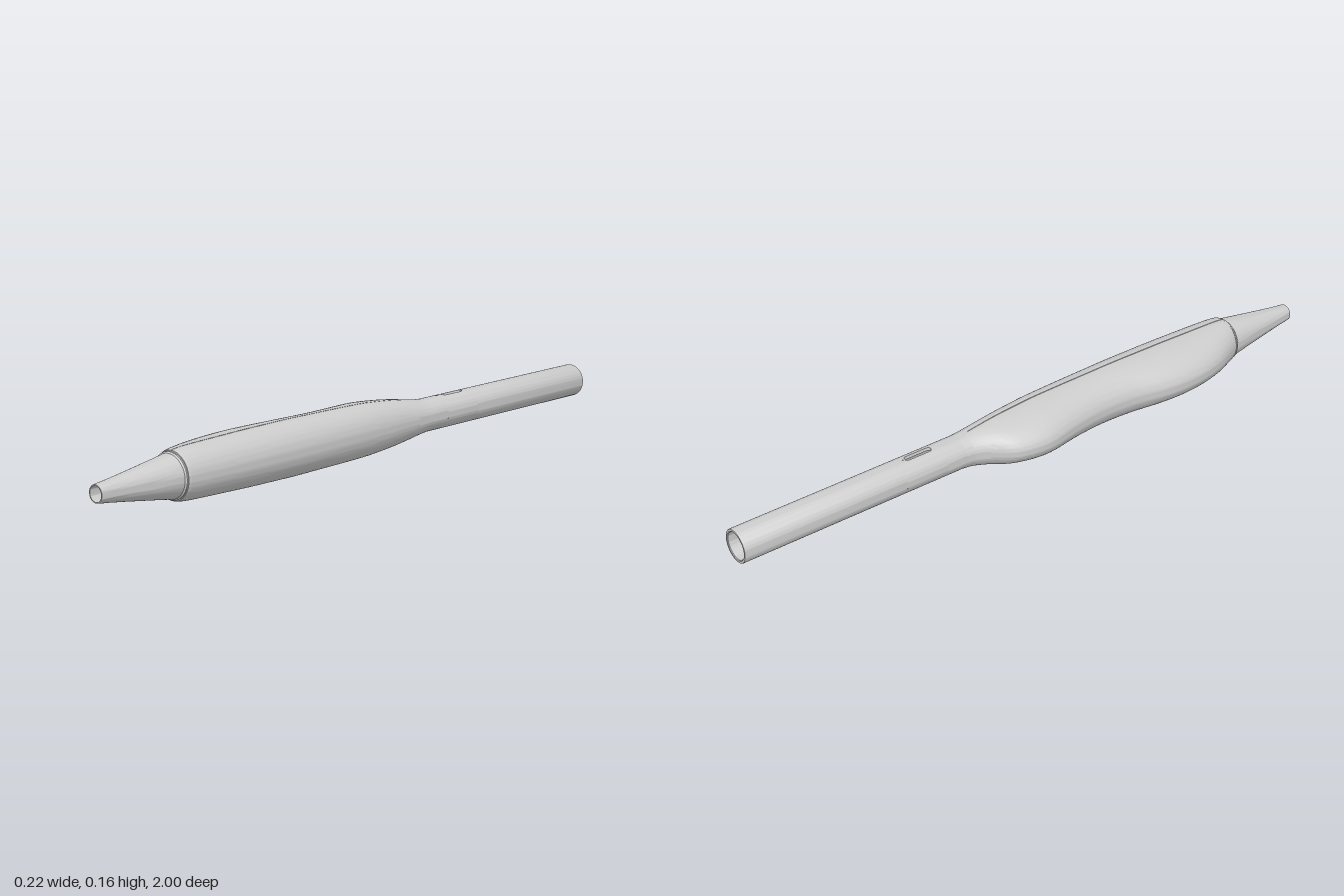
import * as THREE from 'three';
import { toCreasedNormals } from 'three/addons/utils/BufferGeometryUtils.js';

const AX = 0.031, AY = 0.082; // common long axis of all parts
const material = new THREE.MeshStandardMaterial({ color: 0xcccccc, side: THREE.DoubleSide });

function part(name, geometry, crease = 0.5) {
  const mesh = new THREE.Mesh(toCreasedNormals(geometry, crease), material);
  mesh.name = name;
  mesh.position.set(AX, AY, 0);
  return mesh;
}

// Turned part along z from [radius, z] pairs; gap leaves an opening at the top
function turned(name, profile, gap = 0) {
  const points = profile.map(([r, z]) => new THREE.Vector2(r, z));
  const g = new THREE.LatheGeometry(points, 64, Math.PI + gap, Math.PI * 2 - gap * 2);
  return part(name, g.rotateX(Math.PI / 2));
}

const R = 0.05, BORE = 0.041, GAP = 0.3, SLOT_Z = -0.405;

// Wall patch with a rounded slot, bent around the tube axis
function slotPatch(z0, z1) {
  const w = R * GAP, steps = 10, shape = new THREE.Shape();
  const at = (i) => -w + (2 * w * i) / steps;
  shape.moveTo(-w, -z1);
  for (let i = 1; i <= steps; i++) shape.lineTo(at(i), -z1);
  for (let i = steps; i >= 0; i--) shape.lineTo(at(i), -z0);
  const r = 0.01, half = 0.034;
  const hole = new THREE.Path();
  hole.absarc(0, -SLOT_Z + half, r, 0, Math.PI, false);
  hole.absarc(0, -SLOT_Z - half, r, Math.PI, Math.PI * 2, false);
  shape.holes.push(hole);
  const g = new THREE.ExtrudeGeometry(shape, { depth: R - BORE, bevelEnabled: false, curveSegments: 10 });
  const p = g.attributes.position;
  for (let i = 0; i < p.count; i++) {
    const a = p.getX(i) / R, radius = BORE + p.getZ(i);
    p.setXYZ(i, radius * Math.sin(a), radius * Math.cos(a), -p.getY(i));
  }
  return part('slotWall', g);
}

// Contoured grip: two half-ellipses per section, split by a seam groove
function gripGeometry() {
  // z, left edge, right edge, half height
  const stations = [
    [-0.27, -0.020, 0.081, 0.050], [-0.24, -0.025, 0.082, 0.053], [-0.20, -0.046, 0.084, 0.059],
    [-0.15, -0.085, 0.087, 0.066], [-0.10, -0.102, 0.091, 0.071], [-0.05, -0.108, 0.094, 0.075],
    [0.00, -0.103, 0.097, 0.078], [0.10, -0.082, 0.101, 0.080], [0.20, -0.072, 0.104, 0.081],
    [0.30, -0.077, 0.106, 0.082], [0.40, -0.097, 0.107, 0.081], [0.48, -0.104, 0.107, 0.080],
    [0.56, -0.098, 0.106, 0.078], [0.64, -0.078, 0.104, 0.076], [0.70, -0.052, 0.101, 0.074],
    [0.73, -0.038, 0.099, 0.071],
  ];
  const curve = (f) => new THREE.CatmullRomCurve3(stations.map(f), false, 'catmullrom', 0.5);
  const sides = curve(([z, l, r]) => new THREE.Vector3(AX - l, r - AX, z));
  const heights = curve(([z, , , h]) => new THREE.Vector3(h, 0, z));

  // Section angles, each with a flag for the groove floor
  const section = [], e = 0.013, n = 36;
  for (const mid of [0, Math.PI]) {
    const a0 = mid - Math.PI / 2 + e, a1 = mid + Math.PI / 2 - e;
    section.push([a0, 1]);
    for (let i = 0; i <= n; i++) section.push([a0 + ((a1 - a0) * i) / n, 0]);
    section.push([a1, 1]);
  }
  const rings = [], count = 90;
  for (let i = 0; i <= count; i++) {
    const s = sides.getPoint(i / count), h = heights.getPoint(i / count).x;
    rings.push({ left: s.x, right: s.y, h, z: s.z, cut: s.z > -0.23 ? 0.95 : 1 });
  }
  // Rounded front edge and the end face around the nozzle
  const last = rings[count];
  rings.push({ left: last.left - 0.003, right: last.right - 0.002, h: last.h - 0.002, z: 0.736, cut: 0.95 });
  rings.push({ left: 0.058, right: 0.058, h: 0.058, z: 0.736, cut: 1 });

  const pos = [], index = [], m = section.length;
  rings.forEach(({ left, right, h, z, cut }, i) => {
    section.forEach(([a, floor], j) => {
      const k = floor ? cut : 1, c = Math.cos(a);
      pos.push(c * (c > 0 ? right : left), Math.sin(a) * h * k, z);
      if (i === rings.length - 1) return;
      const p = i * m + j, q = i * m + ((j + 1) % m);
      index.push(p, q, q + m, p, q + m, p + m);
    });
  });
  const g = new THREE.BufferGeometry();
  g.setAttribute('position', new THREE.Float32BufferAttribute(pos, 3));
  g.setIndex(index);
  return g;
}

export function createModel() {
  const group = new THREE.Group();
  group.name = 'handpiece';
  const z0 = SLOT_Z - 0.07, z1 = SLOT_Z + 0.07;

  // Hollow rear tube, with a slotted middle section
  group.add(turned('rearTube', [[BORE, z0], [BORE, -0.998], [0.043, -1], [0.049, -1], [R, -0.998], [R, z0]]));
  group.add(turned('slottedTubeOuter', [[R, z0], [R, z1]], GAP));
  group.add(turned('slottedTubeInner', [[BORE, z1], [BORE, z0]], GAP));
  group.add(slotPatch(z0, z1));
  group.add(turned('innerTube', [[R, z1], [R, 0.7], [BORE, 0.7], [BORE, z1]]));

  // Stepped collar inside the rear opening
  group.add(turned('innerCollar', [[BORE, -0.95], [0.032, -0.95], [0.032, -0.9], [BORE, -0.9]]));

  group.add(part('grip', gripGeometry()));

  // Tapered hollow nozzle with a collar at its base
  group.add(turned('nozzle', [
    [0.04, 0.7], [0.06, 0.7], [0.06, 0.738], [0.066, 0.738], [0.066, 0.742], [0.062, 0.746],
    [0.055, 0.79], [0.046, 0.85], [0.037, 0.91], [0.030, 0.96], [0.026, 0.995], [0.025, 1],
    [0.022, 1], [0.022, 0.93], [0.04, 0.75], [0.04, 0.7],
  ]));
  return group;
}
